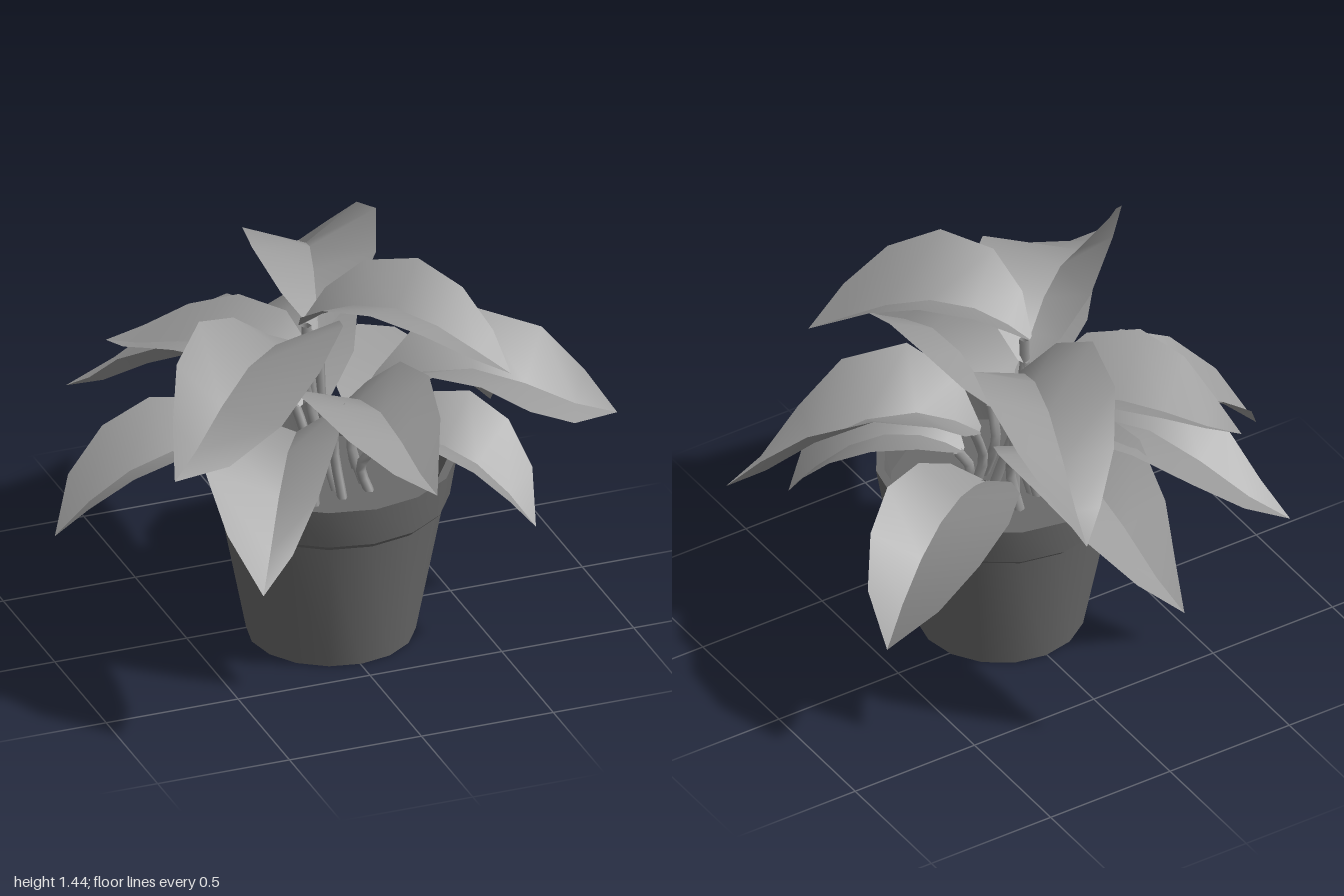
import * as THREE from 'three';
import { toCreasedNormals } from 'three/addons/utils/BufferGeometryUtils.js';

const V = (a) => new THREE.Vector3(...a);
const POT = V([0.005, 0, 0.107]);

// Each leaf: base of the blade, tip, how far the midrib arches up, sway of the blade
// to its right, droop of the tip (0 = flicked out flat, 1 = hanging), twist along the midrib
const LEAVES = [
  // high leaves
  { base: [-0.09, 1.2, 0.06], tip: [0.5, 1.15, 0.59], arch: 0.155, sway: 0.04, droop: 0.5, twist: 0 },
  { base: [0, 1.12, 0], tip: [0.265, 1.02, -0.87], arch: 0.18, sway: 0, droop: 0, twist: 0.5 },
  { base: [-0.06, 1.11, 0.06], tip: [-0.81, 1.01, 0.68], arch: 0.16, sway: -0.055, droop: 0.1, twist: 0.9 },
  // middle leaves
  { base: [-0.04, 0.93, 0.03], tip: [-0.6, 0.95, -0.53], arch: 0.09, sway: -0.05, droop: 0, twist: 0 },
  { base: [0.1, 0.85, 0.09], tip: [0.99, 0.795, 0.365], arch: 0.165, sway: 0.04, droop: 0, twist: -0.7 },
  { base: [0, 0.88, 0.15], tip: [0.1, 0.89, 0.9], arch: 0.15, sway: 0.05, droop: 0, twist: 0 },
  { base: [-0.12, 0.8, 0.2], tip: [-0.585, 0.65, 0.965], arch: 0.24, sway: 0.06, droop: 0.4, twist: 0.6 },
  { base: [0.05, 0.84, -0.04], tip: [-0.08, 0.65, -0.97], arch: 0.19, sway: 0.035, droop: 0, twist: 0 },
  { base: [-0.07, 0.84, 0], tip: [-0.67, 0.68, -0.74], arch: 0.18, sway: 0.045, droop: 0, twist: 0 },
  // low drooping leaves
  { base: [-0.22, 0.72, 0.08], tip: [-1, 0.5, 0], arch: 0.16, sway: -0.01, droop: 1, twist: 0 },
  { base: [0.15, 0.72, -0.02], tip: [0.815, 0.5, -0.42], arch: 0.155, sway: -0.04, droop: 1, twist: 0 },
  { base: [0.12, 0.72, 0.17], tip: [0.61, 0.5, 0.55], arch: 0.155, sway: 0, droop: 1, twist: 0 },
];

// Position along the blade, half width with a slender tip, half width with a broad tip
const OUTLINE = [
  [0, 0.015, 0.015], [0.1, 0.13, 0.12], [0.25, 0.22, 0.2], [0.45, 0.238, 0.24],
  [0.65, 0.185, 0.215], [0.84, 0.09, 0.14], [1, 0, 0],
];
const FOLD = 0.44;

// Arched blade folded upwards along the midrib, each half with its own normals
function bladeGeometry({ base, tip, arch, sway, droop, twist }) {
  const a = V(base), b = V(tip);
  const { lerp } = THREE.MathUtils;
  const mid = (t) => {
    const rise = 4 * t * (1 - t) * lerp(1.25 * (1 - t * t), 1, droop);
    return a.clone().lerp(b, t).add(V([0, arch * rise, 0]));
  };
  const flat = b.clone().sub(a).setY(0).normalize();
  const side = flat.clone().cross(V([0, 1, 0]));
  const positions = [], index = [];
  for (const s of [1, -1]) {
    const start = positions.length / 3;
    OUTLINE.forEach(([t, slender, broad], i) => {
      const w = lerp(slender, broad, droop);
      const tangent = mid(t + 0.01).sub(mid(t - 0.01)).normalize();
      const normal = side.clone().cross(tangent);
      const m = mid(t);
      const e = m.clone()
        .addScaledVector(side, s * w + sway * 4 * t * (1 - t))
        .addScaledVector(normal, w * (FOLD + s * twist * 2 * (t - 0.34)));
      positions.push(...m.toArray(), ...e.toArray());
      if (i === 0) return;
      const k = start + 2 * (i - 1);
      if (s > 0) index.push(k, k + 1, k + 2, k + 1, k + 3, k + 2);
      else index.push(k, k + 2, k + 1, k + 1, k + 2, k + 3);
    });
  }
  const geo = new THREE.BufferGeometry();
  geo.setAttribute('position', new THREE.Float32BufferAttribute(positions, 3));
  geo.setIndex(index);
  geo.computeVertexNormals();
  return geo;
}

// Thin stalk rising from the soil and bending into the blade
function stemGeometry({ base, tip }) {
  const end = V(base);
  const out = V(tip).sub(end).setY(0).normalize();
  const start = POT.clone().lerp(end, 0.5).addScaledVector(out, 0.08).setY(0.54);
  const bend = start.clone().lerp(end, 0.6).addScaledVector(out, -0.03);
  end.addScaledVector(out, 0.02);
  return new THREE.TubeGeometry(new THREE.CatmullRomCurve3([start, bend, end]), 6, 0.019, 5);
}

export function createModel() {
  const model = new THREE.Group();
  const clay = new THREE.MeshStandardMaterial({ color: 0x6a6a6a });
  const foliage = new THREE.MeshStandardMaterial({ color: 0x9a9a9a, side: THREE.DoubleSide });
  const add = (parent, name, geometry, material) => {
    const mesh = new THREE.Mesh(geometry, material);
    mesh.name = name;
    parent.add(mesh);
    return mesh;
  };

  // Tapered pot with a projecting rim
  const profile = [[0, 0], [0.3, 0], [0.4, 0.515], [0.42, 0.535], [0.445, 0.685], [0.415, 0.685], [0.39, 0.54]]
    .map(([r, y]) => new THREE.Vector2(r, y));
  add(model, 'pot', toCreasedNormals(new THREE.LatheGeometry(profile, 16), 0.5), clay).position.copy(POT);

  // Soil surface inside the rim
  const soil = add(model, 'soil', new THREE.CircleGeometry(0.395, 16).rotateX(-Math.PI / 2), clay);
  soil.position.copy(POT).setY(0.56);

  // Leaves on their stems
  for (const spec of LEAVES) {
    const leaf = new THREE.Group();
    leaf.name = 'leaf';
    add(leaf, 'blade', bladeGeometry(spec), foliage);
    add(leaf, 'stem', stemGeometry(spec), foliage);
    model.add(leaf);
  }
  return model;
}
